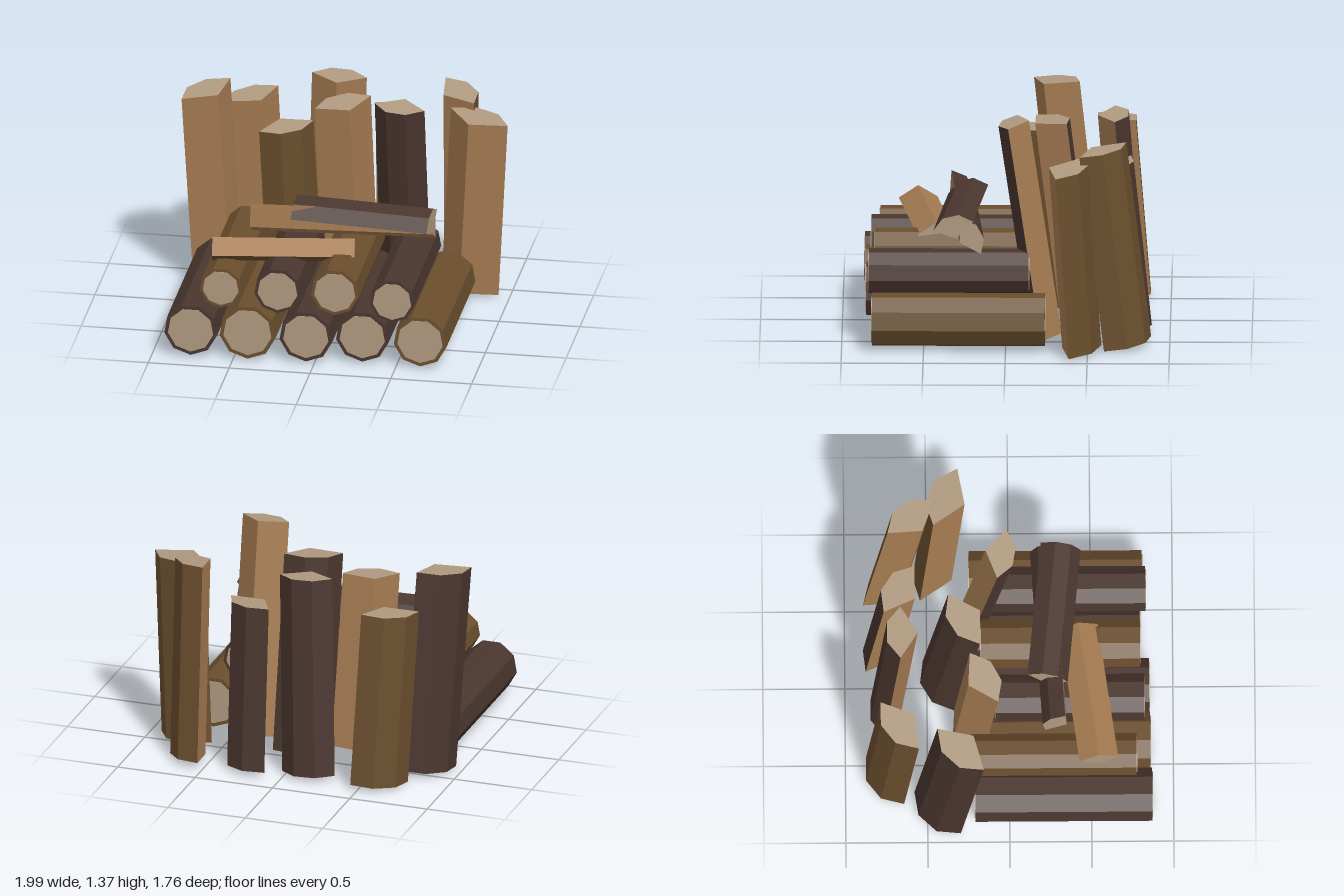
import * as THREE from 'three';

const material = (name, color) => {
  const m = new THREE.MeshStandardMaterial({ color, flatShading: true });
  m.name = name;
  return m;
};

export function createModel() {
  const darkBark = material('darkBark', 0x4a362f);
  const brownBark = material('brownBark', 0x6b4f2e);
  const splitWood = material('splitWood', 0xa67c52);
  const cutEnd = material('cutEnd', 0xb09a80);

  const model = new THREE.Group();
  model.name = 'firewoodPile';

  // Round log lying along z, with a thin cut disc on each end
  function addLog(x, y, r, zBack, zFront, bark) {
    const log = new THREE.Group();
    log.name = 'roundLog';
    const length = zFront - zBack;
    const body = new THREE.Mesh(new THREE.CylinderGeometry(r, r, length, 9), bark);
    body.name = 'bark';
    log.add(body);
    for (const s of [-1, 1]) {
      const disc = new THREE.Mesh(new THREE.CylinderGeometry(r * 0.86, r * 0.86, 0.006, 9), cutEnd);
      disc.name = 'cutDisc';
      disc.position.y = s * (length / 2 + 0.001);
      log.add(disc);
    }
    log.rotation.x = Math.PI / 2;
    log.position.set(x, y, (zBack + zFront) / 2);
    model.add(log);
  }

  // Wedge split from a log: its inner edge runs from a to b, the bark faces "toward"
  function addSplit(name, a, b, toward, r, bark, spread = 116) {
    const start = new THREE.Vector3(...a), end = new THREE.Vector3(...b);
    const w = end.clone().sub(start).normalize();
    const u = new THREE.Vector3(...toward);
    u.addScaledVector(w, -u.dot(w)).normalize();
    const v = w.clone().cross(u);
    const section = [new THREE.Vector3()];
    for (let i = 0; i <= 3; i++) {
      const t = THREE.MathUtils.degToRad(spread * (i / 3 - 0.5));
      section.push(u.clone().multiplyScalar(r * Math.cos(t)).addScaledVector(v, r * Math.sin(t)));
    }
    const low = section.map((p) => p.clone().add(start));
    const high = section.map((p) => p.clone().add(end));
    const positions = [];
    const tri = (...pts) => pts.forEach((p) => positions.push(p.x, p.y, p.z));
    const geometry = new THREE.BufferGeometry();
    // Two wood faces (first and last) and three bark faces
    for (let i = 0; i < 5; i++) {
      const j = (i + 1) % 5;
      tri(low[i], low[j], high[j]);
      tri(low[i], high[j], high[i]);
      geometry.addGroup(i * 6, 6, i === 0 || i === 4 ? 0 : 1);
    }
    // Cut ends
    for (let i = 1; i < 4; i++) {
      tri(high[0], high[i], high[i + 1]);
      tri(low[0], low[i + 1], low[i]);
    }
    geometry.addGroup(30, 18, 2);
    geometry.setAttribute('position', new THREE.Float32BufferAttribute(positions, 3));
    geometry.computeVertexNormals();
    const mesh = new THREE.Mesh(geometry, [splitWood, bark, cutEnd]);
    mesh.name = name;
    model.add(mesh);
  }

  // Stacked logs, bottom row then top row: x, y, radius, back z, front z, bark
  [
    [-0.76, 0.18, 0.165, -0.21, 0.87, darkBark],
    [-0.41, 0.185, 0.175, -0.2, 0.86, brownBark],
    [-0.05, 0.18, 0.165, -0.18, 0.855, darkBark],
    [0.29, 0.18, 0.165, -0.2, 0.8, darkBark],
    [0.65, 0.18, 0.165, -0.24, 0.815, brownBark],
    [-0.59, 0.43, 0.13, -0.235, 0.775, brownBark],
    [-0.23, 0.455, 0.145, -0.08, 0.825, darkBark],
    [0.12, 0.46, 0.15, -0.17, 0.8, brownBark],
    [0.48, 0.44, 0.14, -0.14, 0.835, darkBark],
  ].forEach((l) => addLog(...l));

  // Standing splits: top edge x, y, z, lean x, lean z, bark direction x, z, radius, foot y, bark
  [
    [-0.572, 1.11, -0.578, -0.04, 0.09, -0.62, -0.78, 0.22, 0.015, brownBark],
    [-0.1, 1.27, -0.556, 0.05, 0.1, 0, -1, 0.2, 0.015, darkBark],
    [0.2, 1.05, -0.572, 0.01, 0.11, 0.53, -0.85, 0.213, 0.015, darkBark],
    [0.567, 1.25, -0.524, 0.02, 0.15, 0.79, -0.62, 0.215, 0.02, brownBark],
    [0.765, 1.175, -0.265, 0.07, 0.08, 0.37, -0.93, 0.24, 0.02, brownBark],
    [-0.775, 1.28, -0.22, -0.05, 0.14, -0.74, -0.67, 0.225, 0.015, darkBark],
    [-0.396, 1.14, -0.25, -0.04, 0.095, 0.485, 0.875, 0.208, 0.03, brownBark],
    [0.048, 1.255, -0.176, -0.02, 0.155, -0.52, -0.855, 0.217, 0.015, darkBark],
    [0.395, 1.37, -0.14, -0.01, 0.2, -0.17, 0.98, 0.19, 0.03, darkBark],
  ].forEach(([x, y, z, dx, dz, ux, uz, r, foot, bark]) =>
    addSplit('standingSplit', [x - dx, foot, z - dz], [x, y, z], [ux, 0, uz], r, bark));

  // Loose splits lying on the stack
  addSplit('looseSplitBack', [-0.48, 0.665, 0.35], [0.64, 0.665, 0.28], [0, 0.47, -0.88], 0.15, darkBark);
  addSplit('looseSplitTop', [-0.215, 0.69, 0.215], [0.64, 0.69, 0.3], [0, 0.97, 0.26], 0.15, darkBark);
  addSplit('looseSplitFront', [-0.68, 0.665, 0.545], [0.18, 0.665, 0.425], [0, -1, 0], 0.14, brownBark);

  return model;
}
